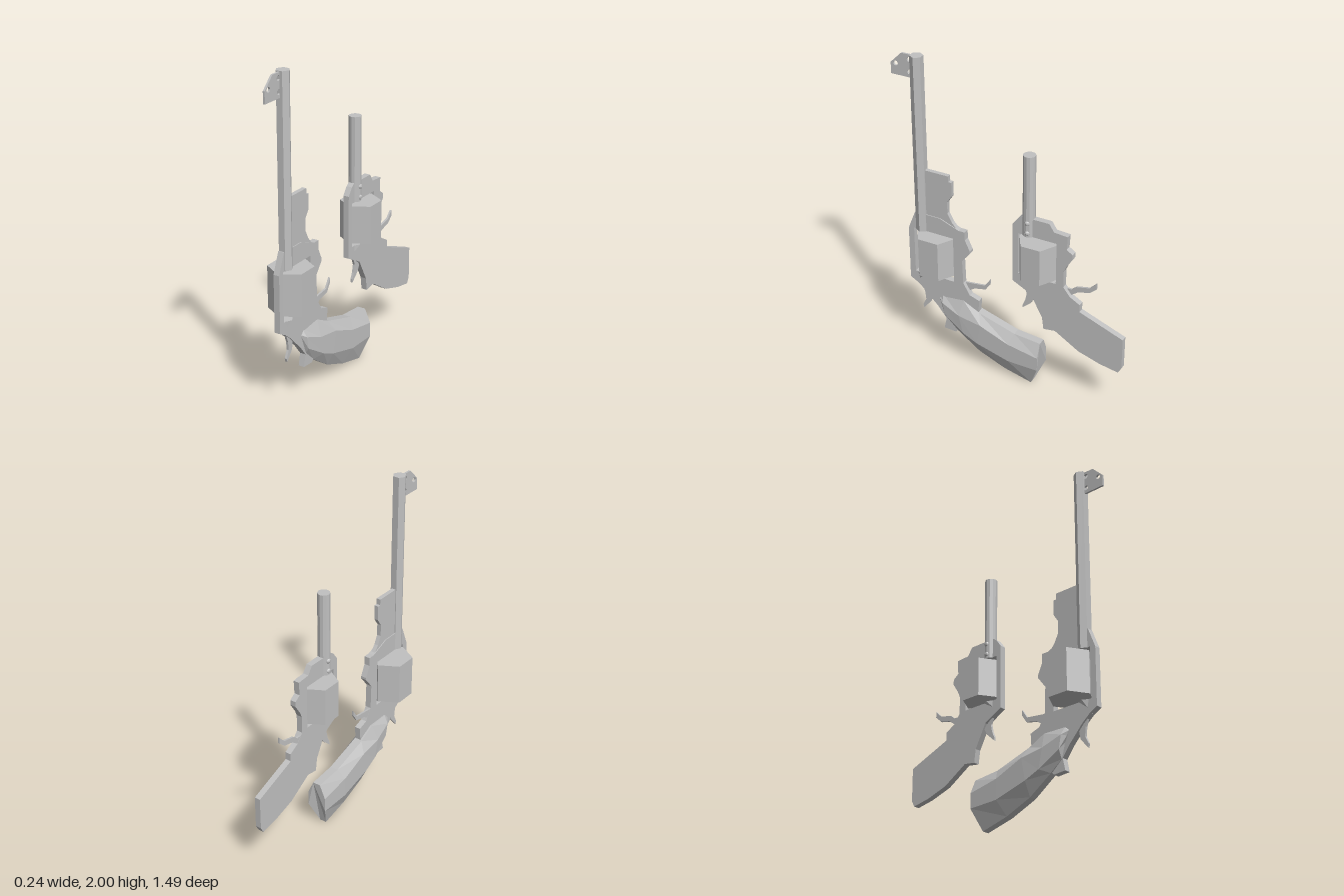
import * as THREE from 'three';

const grey = new THREE.MeshStandardMaterial({ color: 0xc0c0c0, flatShading: true });
grey.name = 'steel grey';
const MID = 0.013; // shared centre plane of both pieces

function add(parent, name, geometry, x = 0, y = 0, z = 0) {
  const mesh = new THREE.Mesh(geometry, grey);
  mesh.name = name;
  mesh.position.set(x, y, z);
  parent.add(mesh);
  return mesh;
}

// Flat plate from a [z, y] outline, with thickness along x
const toPath = (pts) => pts.map(([z, y]) => new THREE.Vector2(-z, y));
const box = (z0, z1, y0, y1) => [[z0, y0], [z1, y0], [z1, y1], [z0, y1]];
function plate(parent, name, outline, depth, { x = MID, holes = [], circles = [] } = {}) {
  const shape = new THREE.Shape(toPath(outline));
  for (const h of holes) shape.holes.push(new THREE.Path(toPath(h)));
  for (const [z, y, r] of circles) shape.holes.push(new THREE.Path().absarc(-z, y, r, 0, Math.PI * 2, true));
  const g = new THREE.ExtrudeGeometry(shape, { depth, bevelEnabled: false, curveSegments: 6 });
  g.translate(0, 0, -depth / 2).rotateY(Math.PI / 2);
  return add(parent, name, g, x);
}

// Upright prism between two heights
function prism(parent, name, r, sides, y0, y1, x, z, turn = 0) {
  const g = new THREE.CylinderGeometry(r, r, y1 - y0, sides).rotateY(turn);
  return add(parent, name, g, x, (y0 + y1) / 2, z);
}

// Hexagonal taper under the drum, sheared forward to its tip
function taper(parent, z, top, tipZ, tipY) {
  const h = top - tipY;
  const g = new THREE.CylinderGeometry(0.038, 0.004, h, 6).rotateY(Math.PI / 6);
  const p = g.attributes.position;
  for (let i = 0; i < p.count; i++) p.setZ(i, p.getZ(i) + (tipZ - z) * (0.5 - p.getY(i) / h));
  add(parent, 'lowerTaper', g, MID, (top + tipY) / 2, z);
}

// Faceted grip: each section lists top, upper ridge, lower ridge, bottom as [z, y]
function gripGeometry() {
  const sections = [
    [0.02, [0.469, 0.437], [0.469, 0.426], [0.459, 0.4], [0.443, 0.373]],
    [0.045, [0.443, 0.453], [0.438, 0.405], [0.422, 0.326], [0.416, 0.278]],
    [0.06, [0.3, 0.453], [0.316, 0.358], [0.289, 0.241], [0.342, 0.215]],
    [0.064, [0.194, 0.4], [0.167, 0.336], [0.194, 0.199], [0.194, 0.114]],
    [0.064, [-0.045, 0.326], [-0.019, 0.262], [-0.019, 0.14], [0.024, 0.045]],
    [0.062, [-0.215, 0.31], [-0.215, 0.225], [-0.215, 0.135], [-0.156, 0]],
  ];
  const spread = [0.4, 1, 1, 0.35];
  const pos = [], idx = [];
  for (const [w, ...pts] of sections) {
    pts.forEach(([z, y], i) => pos.push(w * spread[i], y, z));
    for (let i = 3; i >= 0; i--) pos.push(-w * spread[i], pts[i][1], pts[i][0]);
  }
  const last = (sections.length - 1) * 8;
  for (let s = 0; s < last; s += 8) {
    for (let j = 0; j < 8; j++) {
      const k = (j + 1) % 8;
      idx.push(s + j, s + k, s + 8 + k, s + j, s + 8 + k, s + 8 + j);
    }
  }
  for (let j = 1; j < 7; j++) idx.push(0, j + 1, j, last, last + j, last + j + 1);
  const g = new THREE.BufferGeometry();
  g.setAttribute('position', new THREE.Float32BufferAttribute(pos, 3));
  g.setIndex(idx);
  const flat = g.toNonIndexed();
  flat.computeVertexNormals();
  return flat;
}

function longRevolver() {
  const g = new THREE.Group();
  g.name = 'longRevolver';
  plate(g, 'frame', [
    [0.618, 0.988], [0.448, 0.988], [0.395, 0.967], [0.326, 0.94], [0.284, 0.94], [0.284, 0.887],
    [0.252, 0.818], [0.252, 0.803], [0.305, 0.734], [0.3, 0.58], [0.257, 0.506], [0.194, 0.485],
    [0.199, 0.4], [0.247, 0.336], [0.358, 0.204], [0.438, 0.209], [0.422, 0.283], [0.475, 0.352],
    [0.512, 0.39], [0.56, 0.442], [0.618, 0.49], [0.666, 0.516], [0.666, 0.866],
  ], 0.037, { holes: [box(0.629, 0.363, 0.57, 0.875)] });
  prism(g, 'barrel', 0.04, 6, 0.875, 2, MID + 0.002, 0.578, Math.PI / 6);
  prism(g, 'drum', 0.131, 6, 0.597, 0.853, -0.01, 0.495);
  taper(g, 0.578, 0.57, 0.618, 0.49);
  plate(g, 'frontSight', [[0.745, 1.855], [0.59, 1.855], [0.59, 1.995], [0.675, 1.995], [0.745, 1.925]], 0.012,
    { circles: [[0.713, 1.925, 0.015], [0.624, 1.965, 0.015], [0.624, 1.888, 0.015]] });
  plate(g, 'rearRib', [
    [0.57, 1.285], [0.39, 1.285], [0.39, 1.248], [0.369, 1.248], [0.369, 1.157], [0.4, 1.11],
    [0.4, 1.035], [0.374, 0.983], [0.342, 0.945], [0.342, 0.93], [0.57, 0.93],
  ], 0.026);
  plate(g, 'hammer', [
    [0.31, 0.575], [0.289, 0.575], [0.167, 0.59], [0.13, 0.644], [0.13, 0.612], [0.162, 0.564],
    [0.236, 0.548], [0.284, 0.516], [0.31, 0.516],
  ], 0.012, { x: 0.002 });
  plate(g, 'trigger', [
    [0.6, 0.495], [0.523, 0.453], [0.538, 0.363], [0.586, 0.305], [0.592, 0.326], [0.57, 0.373], [0.576, 0.426],
  ], 0.014);
  add(g, 'grip', gripGeometry(), 0.008);
  return g;
}

function shortRevolver() {
  const g = new THREE.Group();
  g.name = 'shortRevolver';
  plate(g, 'frameAndGrip', [
    [-0.032, 1.094], [-0.066, 1.141], [-0.088, 1.157], [-0.263, 1.157], [-0.294, 1.11], [-0.379, 1.104],
    [-0.374, 1.02], [-0.411, 0.993], [-0.411, 0.961], [-0.374, 0.903], [-0.358, 0.866], [-0.358, 0.76],
    [-0.4, 0.707], [-0.464, 0.67], [-0.464, 0.622], [-0.74, 0.516], [-0.74, 0.315], [-0.72, 0.278],
    [-0.602, 0.299], [-0.464, 0.342], [-0.31, 0.437], [-0.236, 0.426], [-0.225, 0.506], [-0.151, 0.644],
    [-0.103, 0.67], [-0.032, 0.707],
  ], 0.037, { holes: [box(-0.066, -0.31, 0.768, 1.04)] });
  prism(g, 'barrel', 0.037, 12, 1.04, 1.555, MID, -0.127);
  prism(g, 'drum', 0.121, 6, 0.787, 1.02, 0.015, -0.188);
  taper(g, -0.127, 0.768, -0.07, 0.7);
  plate(g, 'hammer', [
    [-0.34, 0.744], [-0.4, 0.744], [-0.432, 0.77], [-0.512, 0.787], [-0.554, 0.829], [-0.554, 0.792],
    [-0.512, 0.755], [-0.443, 0.739], [-0.4, 0.707], [-0.34, 0.7],
  ], 0.012, { x: 0.002 });
  plate(g, 'trigger', [
    [-0.103, 0.675], [-0.172, 0.622], [-0.146, 0.575], [-0.093, 0.527], [-0.093, 0.548], [-0.109, 0.585], [-0.119, 0.633],
  ], 0.014);
  // Barrel pins on both sides
  for (const y of [1.13, 1.065]) {
    for (const side of [-1, 1]) {
      add(g, 'barrelPin', new THREE.SphereGeometry(0.017, 10, 6), MID + side * 0.028, y, -0.13);
    }
  }
  return g;
}

export function createModel() {
  const model = new THREE.Group();
  model.name = 'revolverPair';
  model.add(longRevolver(), shortRevolver());
  return model;
}
